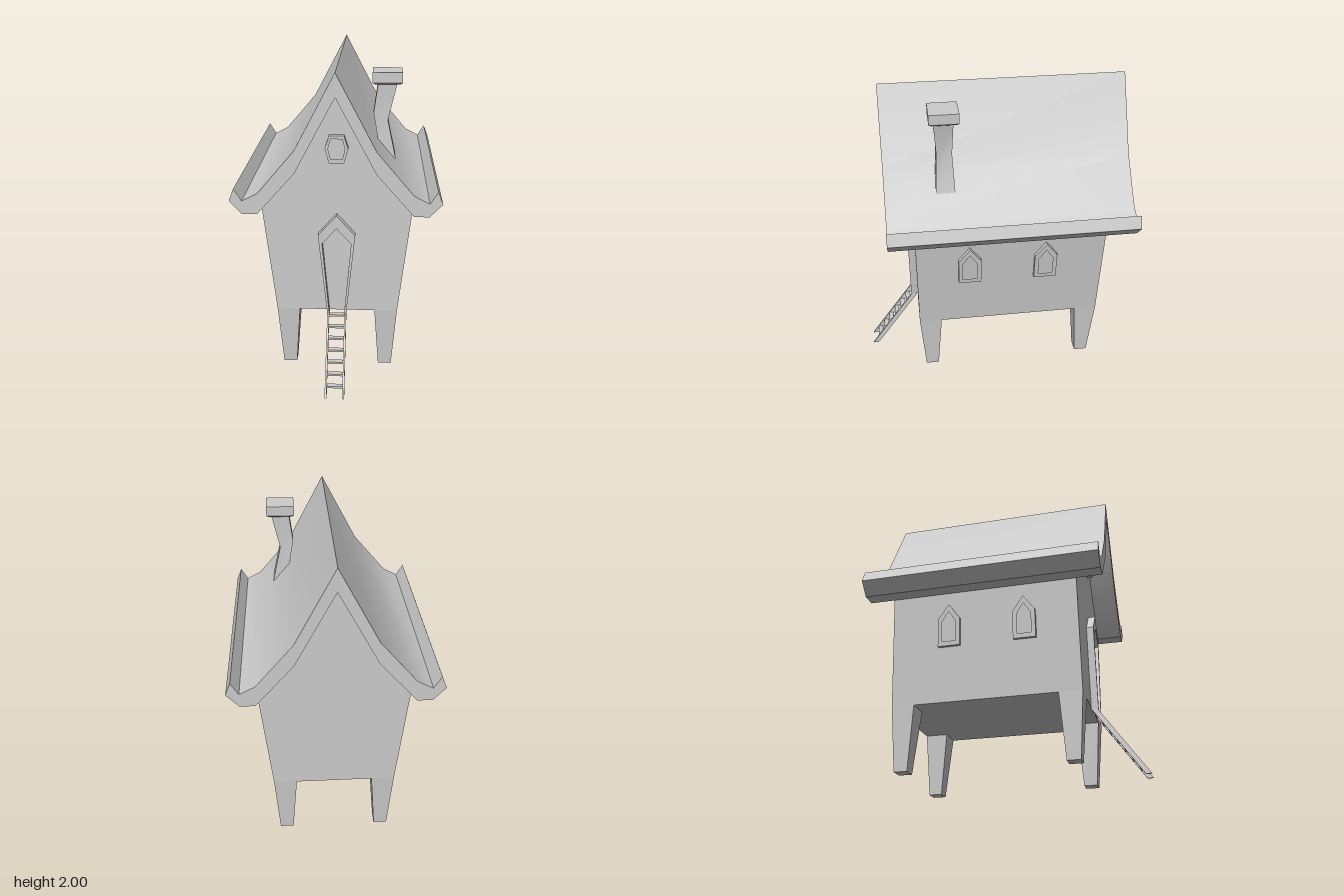
import * as THREE from 'three';
import { toCreasedNormals } from 'three/addons/utils/BufferGeometryUtils.js';

const material = new THREE.MeshStandardMaterial({ color: 0xcccccc });

function part(name, geometry) {
  const mesh = new THREE.Mesh(toCreasedNormals(geometry, 0.6), material);
  mesh.name = name;
  return mesh;
}

const toVectors = (points) => points.map(([x, y]) => new THREE.Vector2(x, y));

// Full outline from its right half, listed top to bottom
function mirrored(half) {
  const left = half.filter(([x]) => x > 0).map(([x, y]) => [-x, y]).reverse();
  return [...half, ...left];
}

// Outline (with an optional hole) extruded from z0 to z1
function slab(outline, z0, z1, hole) {
  const shape = new THREE.Shape(toVectors(outline));
  if (hole) shape.holes.push(new THREE.Path(toVectors(hole)));
  const geometry = new THREE.ExtrudeGeometry(shape, { depth: z1 - z0, bevelEnabled: false });
  return geometry.translate(0, 0, z0);
}

// Four-sided solid through sections [xLeft, yLeft, xRight, yRight, zBack, zFront], bottom to top
function loft(sections) {
  const positions = [], index = [];
  for (const [xl, yl, xr, yr, zb, zf] of sections) {
    positions.push(xl, yl, zf, xr, yr, zf, xr, yr, zb, xl, yl, zb);
  }
  for (let s = 0; s < sections.length - 1; s++) {
    for (let k = 0; k < 4; k++) {
      const a = s * 4 + k, b = s * 4 + (k + 1) % 4;
      index.push(a, b, b + 4, a, b + 4, a + 4);
    }
  }
  const t = (sections.length - 1) * 4;
  index.push(0, 2, 1, 0, 3, 2, t, t + 1, t + 2, t, t + 2, t + 3);
  const geometry = new THREE.BufferGeometry();
  geometry.setAttribute('position', new THREE.Float32BufferAttribute(positions, 3));
  geometry.setIndex(index);
  return geometry;
}

const FRONT = 0.515, BACK = -0.695, FLOOR = 0.44;
const WALL_SLOPE = 0.112; // outward lean of the side walls

export function createModel() {
  const house = new THREE.Group();
  house.name = 'stiltHouse';

  // Walls with gables
  house.add(part('walls', slab(
    mirrored([[0, 1.86], [0.24, 1.41], [0.465, 1.155], [0.385, FLOOR]]), BACK, FRONT)));

  // Curved roof with upturned eaves
  const roofOuter = [[0, 2], [0.24, 1.545], [0.46, 1.285], [0.553, 1.237], [0.6, 1.312],
    [0.63, 1.235], [0.555, 1.155], [0.465, 1.155], [0.24, 1.41]];
  const roofLeft = roofOuter.slice(1).map(([x, y]) => [-x, y]).reverse();
  house.add(part('roof', slab([...roofOuter, [0, 1.86], ...roofLeft], -0.86, 0.68)));

  // Tapered legs
  for (const side of [-1, 1]) {
    for (const [outer, inward] of [[FRONT, -1], [BACK, 1]]) {
      const section = (y, x0, x1, d0, d1) => {
        const xs = [side * x0, side * x1].sort((a, b) => a - b);
        const zs = [outer + inward * d0, outer + inward * d1].sort((a, b) => a - b);
        return [xs[0], y, xs[1], y, zs[0], zs[1]];
      };
      house.add(part('leg', loft([
        section(0.03, 0.27, 0.355, 0.03, 0.115),
        section(FLOOR, 0.24, 0.385, 0, 0.147),
      ])));
    }
  }

  // Door frame, open at the bottom
  house.add(part('doorFrame', slab([
    [0, 1.105], [-0.115, 0.975], [-0.06, 0.43], [-0.047, 0.43], [-0.09, 0.92], [0, 1.02],
    [0.09, 0.92], [0.047, 0.43], [0.06, 0.43], [0.115, 0.975],
  ], FRONT - 0.005, 0.56)));

  // Six-sided gable window
  house.add(part('gableWindow', slab(
    mirrored([[0.045, 1.605], [0.07, 1.525], [0.045, 1.435]]), FRONT - 0.005, 0.55,
    mirrored([[0.035, 1.585], [0.05, 1.525], [0.035, 1.46]]))));

  // Pointed side windows, leaning with the walls
  const frame = mirrored([[0, 0.277], [0.072, 0.18], [0.072, 0]]);
  const opening = mirrored([[0, 0.23], [0.045, 0.16], [0.045, 0.03]]);
  for (const side of [-1, 1]) {
    for (const z of [0.177, -0.312]) {
      const sideWindow = part('sideWindow', slab(frame, -0.005, 0.025, opening));
      sideWindow.rotation.set(Math.atan(WALL_SLOPE), side * Math.PI / 2, 0, 'YXZ');
      sideWindow.position.set(side * (0.385 + (0.795 - FLOOR) * WALL_SLOPE), 0.795, z);
      house.add(sideWindow);
    }
  }

  // Crooked chimney with a square cap
  const chimney = new THREE.Group();
  chimney.name = 'chimney';
  chimney.add(part('shaft', loft([
    [0.262, 1.43, 0.355, 1.415, 0.248, 0.367],
    [0.215, 1.7, 0.302, 1.655, 0.258, 0.353],
    [0.24, 1.885, 0.355, 1.885, 0.248, 0.367],
  ])));
  chimney.add(part('cap', loft([
    [0.22, 1.877, 0.37, 1.877, 0.23, 0.38],
    [0.206, 1.888, 0.384, 1.888, 0.215, 0.394],
    [0.206, 1.95, 0.384, 1.95, 0.215, 0.394],
  ])));
  house.add(chimney);

  // Ladder up to the door
  const ladder = new THREE.Group();
  ladder.name = 'ladder';
  for (const side of [-1, 1]) {
    const x = side * 0.055;
    ladder.add(part('rail', loft([
      [x - 0.006, 0, x + 0.006, 0, 0.822, 0.86],
      [x - 0.006, 0.432, x + 0.006, 0.432, 0.515, 0.553],
    ])));
  }
  for (let i = 0; i < 7; i++) {
    const y = 0.055 + i * 0.0605;
    const rung = part('rung', new THREE.BoxGeometry(0.1, 0.013, 0.03));
    rung.position.set(0, y, 0.841 - y * 0.307 / 0.432);
    ladder.add(rung);
  }
  house.add(ladder);

  return house;
}
